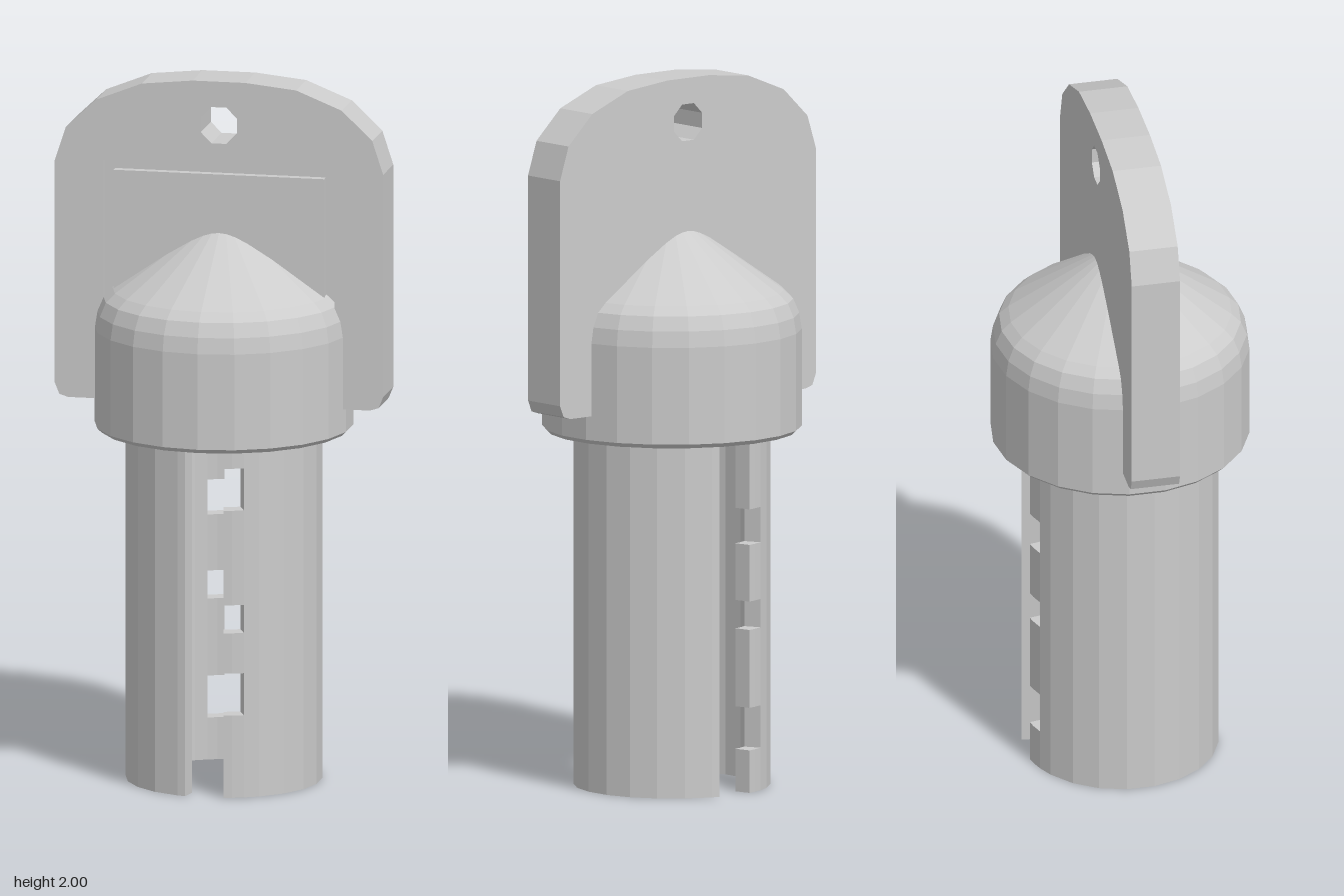
import * as THREE from 'three';

const SEGS = 22;
const mat = new THREE.MeshStandardMaterial({ color: 0xcccccc, flatShading: true });

function add(parent, name, geometry) {
  const mesh = new THREE.Mesh(geometry, mat);
  mesh.name = name;
  parent.add(mesh);
  return mesh;
}

// Piece of tube wall between two angles (measured from +z towards +x) and two heights
function wallPiece(a0, a1, y0, y1, rIn = 0.225, rOut = 0.275) {
  const step = (Math.PI * 2) / SEGS;
  const angles = [a0];
  for (let k = Math.ceil(a0 / step); k * step < a1; k++) {
    if (k * step > a0 + 0.01 && k * step < a1 - 0.01) angles.push(k * step);
  }
  angles.push(a1);
  const at = (r) => (a) => new THREE.Vector2(r * Math.sin(a), -r * Math.cos(a));
  const shape = new THREE.Shape([...angles.map(at(rOut)), ...angles.reverse().map(at(rIn))]);
  const geo = new THREE.ExtrudeGeometry(shape, { depth: y1 - y0, bevelEnabled: false });
  return geo.rotateX(-Math.PI / 2).translate(0, y0, 0);
}

// Half of the split tube, with notches cut into one edge of the slot
function halfTube(name, notches) {
  const half = new THREE.Group();
  half.name = name;
  const slot = 0.2, notchEnd = 0.41, top = 1.01;
  add(half, 'tubeWall', wallPiece(notchEnd, Math.PI - slot, 0, top));
  let y = 0;
  for (const [from, to] of [...notches, [top, top]]) {
    add(half, 'slotTooth', wallPiece(slot, notchEnd, y, from));
    y = to;
  }
  return half;
}

function rectPath(x, y0, y1) {
  return new THREE.Path([[-x, y0], [-x, y1], [x, y1], [x, y0]].map((p) => new THREE.Vector2(...p)));
}

// Outline of the grip plate, mirrored left to right, with the hanging hole
function plateShape() {
  const side = [[0.43, 1.08], [0.455, 1.088], [0.468, 1.12], [0.468, 1.755],
    [0.437, 1.85], [0.35, 1.933], [0.22, 1.985], [0.075, 2.0]];
  const left = side.map(([x, y]) => new THREE.Vector2(x, y));
  const right = side.map(([x, y]) => new THREE.Vector2(-x, y)).reverse();
  const shape = new THREE.Shape([...left, ...right]);
  const hole = [];
  for (let i = 0; i < 8; i++) {
    const a = -((i + 0.5) / 8) * Math.PI * 2;
    hole.push(new THREE.Vector2(0.056 * Math.cos(a), 1.875 + 0.056 * Math.sin(a)));
  }
  shape.holes.push(new THREE.Path(hole));
  return shape;
}

const slab = (shape, z0, z1) =>
  new THREE.ExtrudeGeometry(shape, { depth: z1 - z0, bevelEnabled: false }).translate(0, 0, z0);

export function createModel() {
  const model = new THREE.Group();
  model.name = 'tubularKey';

  // Split tube: two halves, each notched along one slot edge
  model.add(halfTube('leftTubeHalf', [[0.235, 0.355], [0.47, 0.55], [0.82, 0.94]]));
  const right = halfTube('rightTubeHalf', [[0.12, 0.24], [0.46, 0.54], [0.70, 0.80]]);
  right.rotation.y = Math.PI;
  model.add(right);

  // Cap with a rounded shoulder and conical top
  const profile = [[0, 1], [0.35, 1], [0.362, 1.012], [0.362, 1.285], [0.355, 1.33],
    [0.338, 1.37], [0.312, 1.395], [0.07, 1.567], [0, 1.617]];
  add(model, 'cap', new THREE.LatheGeometry(profile.map((p) => new THREE.Vector2(...p)), SEGS));

  // Grip plate: plain back layer, front layer opened for a groove, raised panel inside it
  const grip = new THREE.Group();
  grip.name = 'gripPlate';
  model.add(grip);
  const grooveFloor = 0.045, face = 0.069;
  add(grip, 'plateBack', slab(plateShape(), -face, grooveFloor));
  const front = plateShape();
  front.holes.push(rectPath(0.33, 1.25, 1.76));
  add(grip, 'plateFront', slab(front, grooveFloor, face));
  const panel = new THREE.BoxGeometry(0.6, 0.485, face - grooveFloor);
  add(grip, 'groovedPanel', panel.translate(0, 1.4925, (face + grooveFloor) / 2));

  return model;
}
